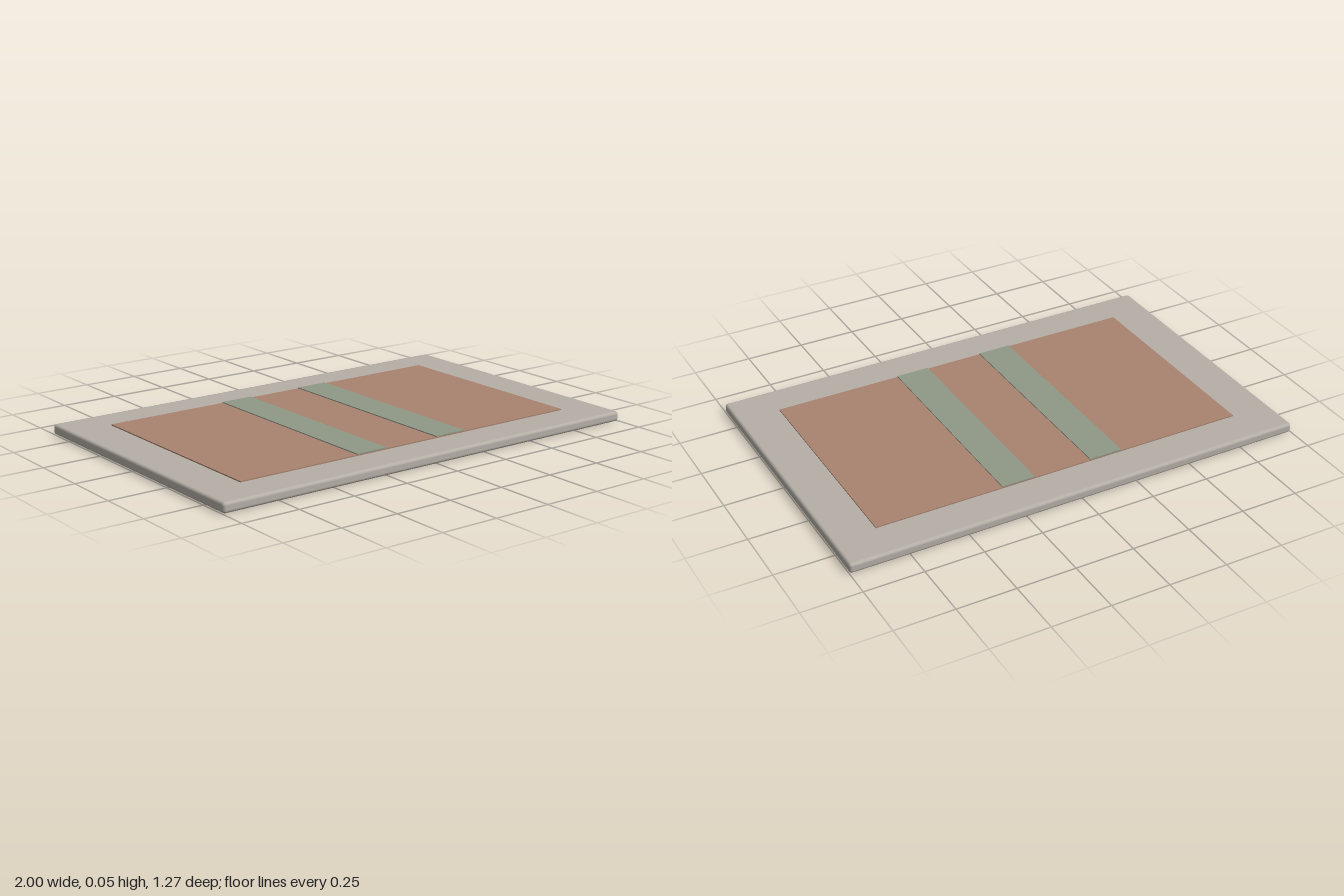
import * as THREE from 'three';
import { RoundedBoxGeometry } from 'three/addons/geometries/RoundedBoxGeometry.js';

export function createModel() {
  const group = new THREE.Group();

  const add = (name, geometry, color, x, y) => {
    const mesh = new THREE.Mesh(geometry, new THREE.MeshStandardMaterial({ color }));
    mesh.name = name;
    mesh.position.set(x, y, 0);
    group.add(mesh);
  };

  // Rounded base slab
  const slabHeight = 0.043;
  add('slab', new RoundedBoxGeometry(2, slabHeight, 1.27, 3, 0.013), 0xb5afa7, 0, slabHeight / 2);

  // Thin coloured field, slightly sunk into the slab
  const depth = 0.945;
  add('panel', new THREE.BoxGeometry(1.636, 0.008, depth), 0xa98470, 0, 0.044);

  // Two raised bands across the field
  for (const side of [-1, 1]) {
    add(side > 0 ? 'leftBand' : 'rightBand',
      new THREE.BoxGeometry(0.145, 0.008, depth), 0x8f9886, side * 0.2, 0.048);
  }

  return group;
}
